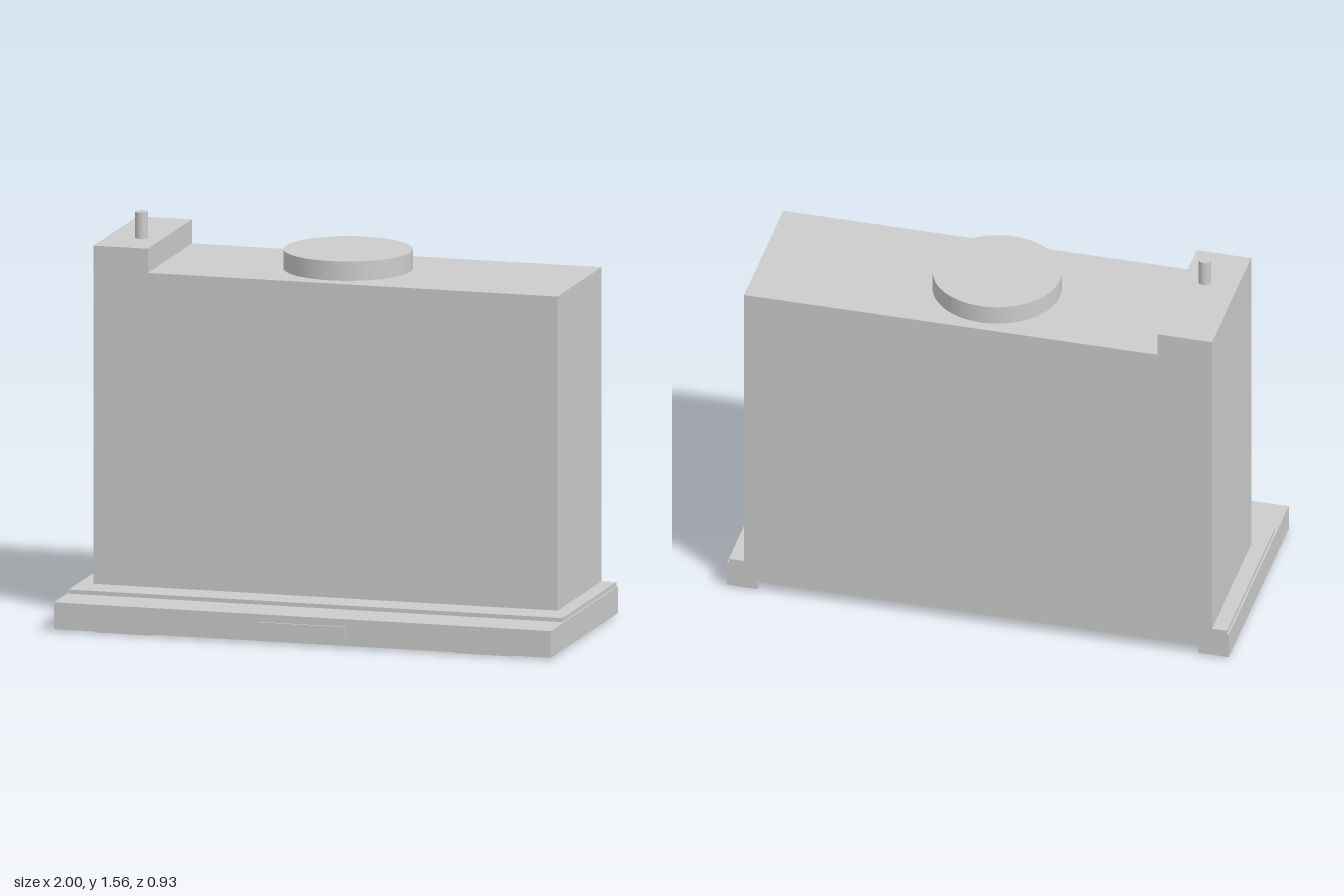
import * as THREE from 'three';

export function createModel() {
  const group = new THREE.Group();
  const material = new THREE.MeshStandardMaterial({ color: 0xcccccc });

  function add(name, geometry) {
    const mesh = new THREE.Mesh(geometry, material);
    mesh.name = name;
    group.add(mesh);
    return mesh;
  }
  // Box given by its minimum and maximum on each axis
  function box(name, x0, x1, y0, y1, z0, z1) {
    const g = new THREE.BoxGeometry(x1 - x0, y1 - y0, z1 - z0);
    g.translate((x0 + x1) / 2, (y0 + y1) / 2, (z0 + z1) / 2);
    return add(name, g);
  }
  function outline(points, Type = THREE.Shape) {
    return new Type(points.map(([x, y]) => new THREE.Vector2(x, y)));
  }
  // Plan outline in (x, -z), raised from y0 to y1
  function slab(name, shape, y0, y1) {
    const g = new THREE.ExtrudeGeometry(shape, { depth: y1 - y0, bevelEnabled: false });
    g.rotateX(-Math.PI / 2);
    g.translate(0, y0, 0);
    return add(name, g);
  }
  function cylinder(name, r, x, y0, y1, z, sides) {
    const g = new THREE.CylinderGeometry(r, r, y1 - y0, sides);
    g.translate(x, (y0 + y1) / 2, z);
    return add(name, g);
  }

  const back = -0.463, front = 0.457;

  // U-shaped canopy rim, open at the back
  const inner = 0.88, innerFront = 0.343;
  slab('canopyRim', outline([
    [-1, -front], [1, -front], [1, -back], [inner, -back],
    [inner, -innerFront], [-inner, -innerFront], [-inner, -back], [-1, -back],
  ]), 0.008, 0.113);

  // Recessed underside: filter panel, and a rear strip with a light slot
  box('filterPanel', -inner, inner, 0.036, 0.113, -0.29, innerFront);
  const strip = outline([[-inner, 0.293], [inner, 0.293], [inner, -back], [-inner, -back]]);
  strip.holes.push(outline([[-0.42, 0.345], [-0.42, 0.415], [0.42, 0.415], [0.42, 0.345]], THREE.Path));
  slab('rearStrip', strip, 0.04, 0.06);
  box('rearStripBacking', -inner, inner, 0.06, 0.113, back, -0.29);
  box('lightBar', -0.405, 0.405, 0.045, 0.06, -0.4, -0.36);

  // Stepped top plate
  box('topPlate', -0.993, 0.993, 0.113, 0.129, back, 0.275);

  // Tall housing with a raised electrical block on the right
  const housing = new THREE.ExtrudeGeometry(outline([
    [-0.933, 0.129], [0.933, 0.129], [0.933, 1.365],
    [-0.715, 1.365], [-0.715, 1.46], [-0.933, 1.46],
  ]), { depth: 0.14 - back, bevelEnabled: false });
  housing.translate(0, 0, back);
  add('housing', housing);

  // Duct outlet and cable gland
  cylinder('ductOutlet', 0.25, 0, 1.365, 1.441, -0.168, 64);
  cylinder('cableGland', 0.025, -0.8, 1.46, 1.563, -0.063, 24);

  // Front control panel and low pads under the front rim
  box('controlPanel', -0.175, 0.175, 0.04, 0.083, front - 0.01, front + 0.008);
  for (const s of [-1, 1]) {
    box('frontPad', s * 0.72 - 0.115, s * 0.72 + 0.115, 0, 0.01, 0.362, 0.436);
  }

  return group;
}
